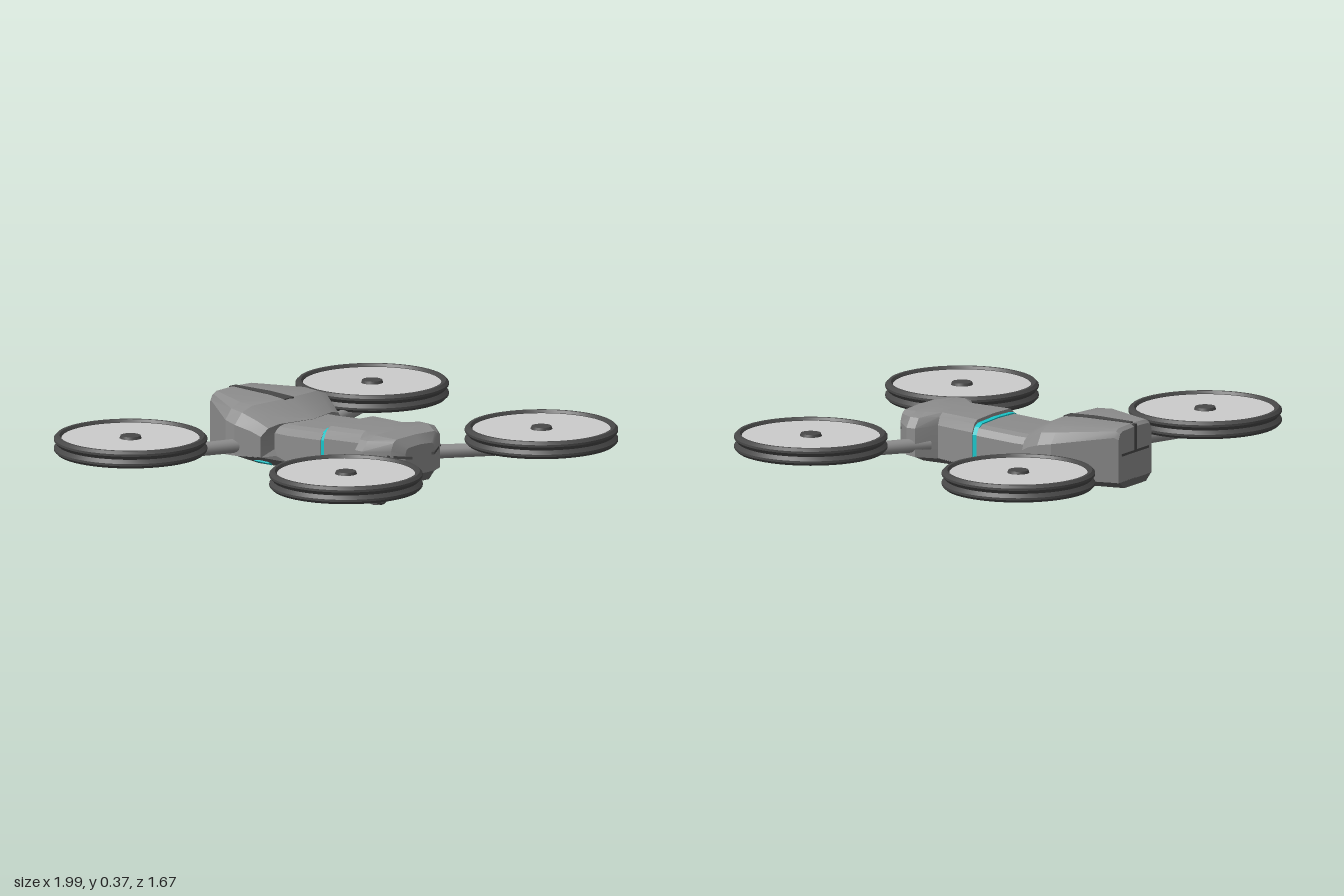
import * as THREE from 'three';
import { toCreasedNormals } from 'three/addons/utils/BufferGeometryUtils.js';

const mat = (color, opts = {}) => new THREE.MeshStandardMaterial({ color, ...opts });
const shellMat = mat(0x8c8c8c);
const hullMat = mat(0x626262);
const darkMat = mat(0x484848);
const discMat = mat(0xcccccc);
const glowMat = mat(0x18c4c8);
const lensMat = mat(0xd84a2a);

function add(parent, name, geometry, material, x = 0, y = 0, z = 0) {
  const mesh = new THREE.Mesh(geometry, material);
  mesh.name = name;
  mesh.position.set(x, y, z);
  parent.add(mesh);
  return mesh;
}

// Skins closed rings, ordered front (+z) to back, and caps both ends.
function loft(rings) {
  const pos = [];
  const tri = (a, b, c) => pos.push(...a, ...b, ...c);
  const n = rings[0].length;
  for (let i = 0; i < rings.length - 1; i++) {
    for (let j = 0; j < n; j++) {
      const k = (j + 1) % n, A = rings[i], B = rings[i + 1];
      tri(A[j], A[k], B[j]);
      tri(A[k], B[k], B[j]);
    }
  }
  [rings[0], rings[rings.length - 1]].forEach((r, end) => {
    const c = [0, 1, 2].map((a) => r.reduce((s, p) => s + p[a], 0) / n);
    for (let j = 0; j < n; j++) {
      const p = r[j], q = r[(j + 1) % n];
      end ? tri(c, p, q) : tri(c, q, p);
    }
  });
  const g = new THREE.BufferGeometry();
  g.setAttribute('position', new THREE.Float32BufferAttribute(pos, 3));
  return toCreasedNormals(g, 0.35);
}

// Mirrors a half outline (top centre to bottom centre) into a full ring.
// The chevron value sweeps the sides backwards.
function ring(z, half, chevron = 0) {
  const w = Math.max(...half.map((p) => p[0]));
  const place = ([x, y]) => [x, y, z - (chevron * Math.abs(x)) / w];
  const mirrored = half.slice(1, -1).reverse().map(([x, y]) => [-x, y]);
  return [...half, ...mirrored].map(place);
}

// Shell section: top half width and height, side half width, shoulder, sill.
const shell = (sections) => loft(sections.map(([z, wt, yt, wm, ys, sill, chev]) =>
  ring(z, [[0, yt], [wt, yt - 0.004], [wt + (wm - wt) * 0.6, yt - (yt - ys) * 0.35],
    [wm, ys], [wm, sill], [0, sill]], chev)));

function addBody(group) {
  add(group, 'frontShell', shell([
    [0.395, 0.065, 0.285, 0.085, 0.255, 0.165],
    [0.37, 0.11, 0.322, 0.14, 0.275, 0.165],
    [0.29, 0.15, 0.334, 0.222, 0.275, 0.165],
    [0.25, 0.15, 0.334, 0.222, 0.275, 0.16],
    [0.195, 0.105, 0.331, 0.138, 0.28, 0.145],
    [0.02, 0.12, 0.325, 0.16, 0.275, 0.135],
  ]), shellMat);
  add(group, 'middleShell', shell([
    [0.0, 0.12, 0.307, 0.16, 0.265, 0.135],
    [-0.18, 0.12, 0.296, 0.16, 0.255, 0.145],
    [-0.27, 0.12, 0.294, 0.16, 0.255, 0.16],
  ]), shellMat);
  add(group, 'glowBand', shell([
    [0.022, 0.119, 0.312, 0.157, 0.266, 0.118],
    [-0.002, 0.119, 0.312, 0.157, 0.266, 0.118],
  ]), glowMat);
  add(group, 'rearShell', shell([
    [-0.19, 0.15, 0.297, 0.232, 0.25, 0.165, 0.07],
    [-0.25, 0.165, 0.325, 0.25, 0.27, 0.165, 0.05],
    [-0.33, 0.185, 0.36, 0.277, 0.29, 0.165, 0.03],
    [-0.42, 0.185, 0.364, 0.268, 0.3, 0.16],
    [-0.63, 0.1, 0.362, 0.132, 0.325, 0.142],
    [-0.645, 0.095, 0.35, 0.122, 0.315, 0.14],
  ]), shellMat);

  // Dark belly: sill half width and height, bottom half width and height
  const belly = [
    [0.395, 0.085, 0.167, 0.05, 0.135],
    [0.28, 0.222, 0.167, 0.11, 0.122],
    [0.2, 0.14, 0.147, 0.095, 0.118],
    [0.0, 0.16, 0.137, 0.1, 0.117],
    [-0.18, 0.16, 0.147, 0.1, 0.115],
    [-0.26, 0.235, 0.167, 0.125, 0.113],
    [-0.36, 0.276, 0.167, 0.14, 0.113],
    [-0.645, 0.12, 0.142, 0.08, 0.113],
  ];
  add(group, 'belly', loft(belly.map(([z, w, y, wb, yb]) =>
    ring(z, [[0, y], [w, y], [wb, yb], [0, yb]]))), hullMat);

  // Spine inlay on the back, wide in front and narrow behind
  const inlay = (z, w, y) => ring(z, [[0, y], [w, y], [w, 0.3], [0, 0.3]]);
  add(group, 'spineInlay', loft([
    inlay(-0.325, 0.027, 0.361), inlay(-0.45, 0.02, 0.367), inlay(-0.63, 0.009, 0.366),
  ]), darkMat);
  add(group, 'rearSeam', new THREE.BoxGeometry(0.018, 0.11, 0.02), darkMat, 0, 0.305, -0.638);
  add(group, 'rearSlot', new THREE.BoxGeometry(0.2, 0.01, 0.02), darkMat, 0, 0.25, -0.637);

  for (const s of [-1, 1]) {
    // Nose slits, following the swept front corners
    const slit = add(group, 'noseSlit', new THREE.BoxGeometry(0.105, 0.01, 0.012), darkMat,
      s * 0.105, 0.247, 0.382);
    slit.rotation.set(0, s * 0.52, s * 0.12);

    // Glowing belly vents: a slanted pair outside, a flat pair inside
    const vent = (name, x, y, z, w, d, roll) => {
      const shape = new THREE.Shape([[-w, -d], [w, -d + 0.02], [w, d], [-w, d - 0.02]]
        .map(([a, b]) => new THREE.Vector2(s * a, b)));
      const g = new THREE.ExtrudeGeometry(shape, { depth: 0.006, bevelEnabled: false });
      g.rotateX(Math.PI / 2);
      add(group, name, g, glowMat, s * x, y, z).rotation.z = s * roll;
    };
    vent('outerVent', 0.17, 0.133, -0.305, 0.022, 0.05, 0.4);
    vent('innerVent', 0.05, 0.116, -0.4, 0.026, 0.045, 0);
  }
}

function addCamera(group) {
  add(group, 'cameraMount', new THREE.CylinderGeometry(0.06, 0.046, 0.04, 24), shellMat, 0, 0.105, 0.15);
  add(group, 'cameraStalk', new THREE.CylinderGeometry(0.046, 0.046, 0.07, 24), shellMat, 0, 0.08, 0.15);
  add(group, 'cameraBall', new THREE.SphereGeometry(0.046, 24, 16), shellMat, 0, 0.046, 0.15);
  add(group, 'lensRing', new THREE.TorusGeometry(0.03, 0.008, 8, 24), darkMat, 0, 0.043, 0.183);
  add(group, 'lens', new THREE.SphereGeometry(0.025, 20, 12), lensMat, 0, 0.043, 0.176);
}

// Ring guard with a double-ridged outer edge
const guardProfile = [[0.275, 0.22], [0.294, 0.22], [0.305, 0.231], [0.305, 0.24], [0.292, 0.255],
  [0.305, 0.27], [0.305, 0.279], [0.294, 0.29], [0.282, 0.29], [0.275, 0.28], [0.275, 0.22]];

function addRotor(group, x, z, rootX, rootZ) {
  const rotor = new THREE.Group();
  rotor.name = 'rotor';
  rotor.position.set(x, 0, z);
  group.add(rotor);
  const guard = new THREE.LatheGeometry(guardProfile.map((p) => new THREE.Vector2(...p)), 56);
  add(rotor, 'guardRing', toCreasedNormals(guard, 0.4), darkMat);
  add(rotor, 'rotorDisc', new THREE.CylinderGeometry(0.278, 0.278, 0.012, 56), discMat, 0, 0.272, 0);
  add(rotor, 'discUnderside', new THREE.CylinderGeometry(0.278, 0.278, 0.02, 56), darkMat, 0, 0.25, 0);
  add(rotor, 'hubCap', new THREE.CylinderGeometry(0.04, 0.045, 0.014, 24), darkMat, 0, 0.282, 0);
  add(rotor, 'motor', new THREE.CylinderGeometry(0.04, 0.04, 0.08, 20), hullMat, 0, 0.212, 0);

  // Arm from the body out to the motor
  const from = new THREE.Vector3(rootX, 0.202, rootZ), to = new THREE.Vector3(x, 0.202, z);
  const dir = to.clone().sub(from);
  const arm = add(group, 'arm', new THREE.CylinderGeometry(0.025, 0.029, dir.length(), 16), shellMat);
  arm.position.copy(from).add(to).multiplyScalar(0.5);
  arm.quaternion.setFromUnitVectors(new THREE.Vector3(0, 1, 0), dir.normalize());
}

export function createModel() {
  const group = new THREE.Group();
  group.name = 'quadcopter';
  addBody(group);
  addCamera(group);
  for (const s of [-1, 1]) {
    addRotor(group, s * 0.56, 0.525, s * 0.15, 0.23);
    addRotor(group, s * 0.692, -0.535, s * 0.2, -0.345);
  }
  return group;
}
